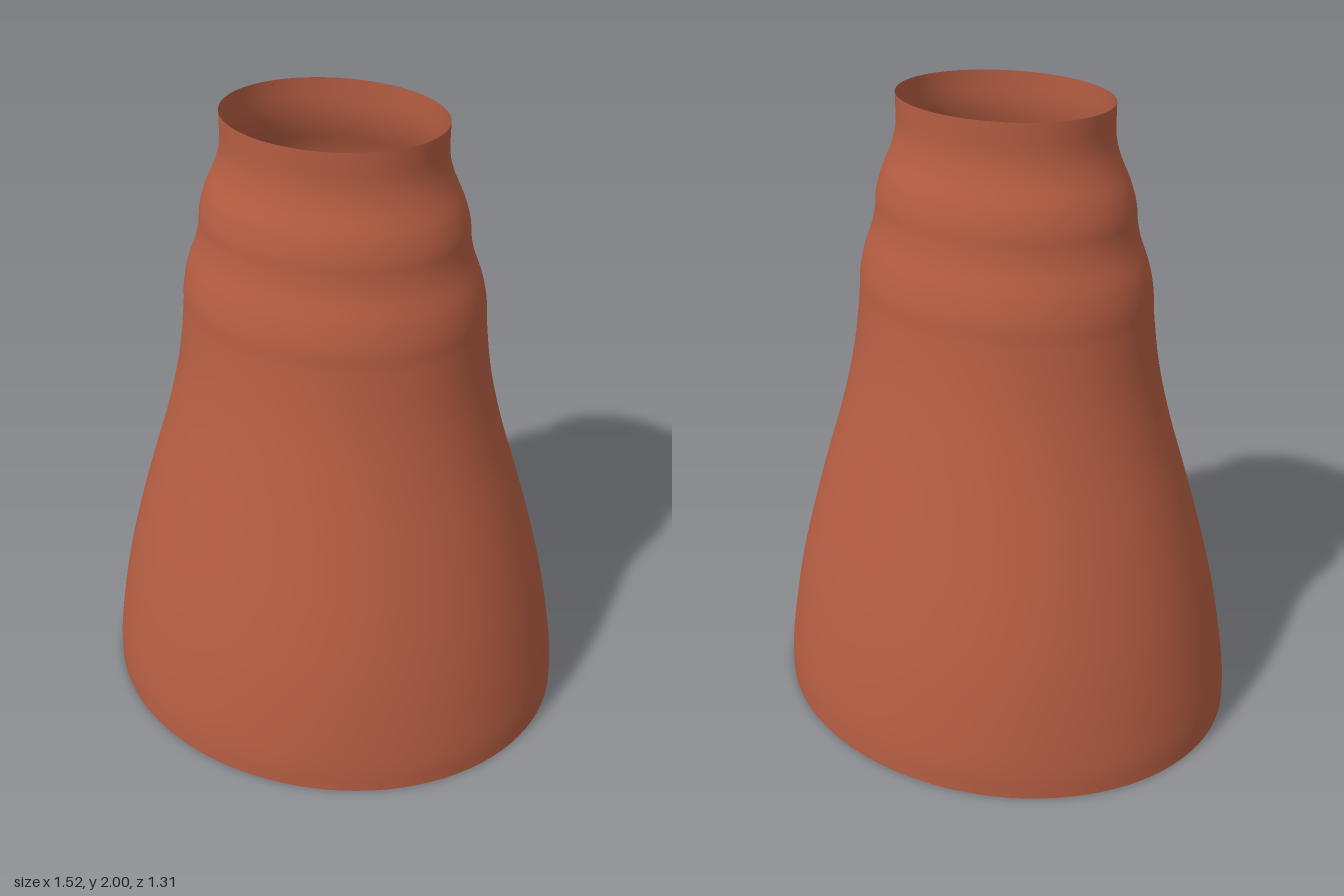
import * as THREE from 'three';
import { mergeVertices } from 'three/addons/utils/BufferGeometryUtils.js';

// Half width, height, half depth of the oval section, from foot to mouth
const sections = [
  [0.76, 0, 0.655], [0.758, 0.08, 0.652], [0.742, 0.2, 0.638], [0.705, 0.4, 0.604],
  [0.655, 0.6, 0.557], [0.597, 0.8, 0.503], [0.535, 1.0, 0.449], [0.488, 1.2, 0.402],
  [0.465, 1.38, 0.374], [0.46, 1.45, 0.368], [0.445, 1.52, 0.353], [0.416, 1.6, 0.329],
  [0.405, 1.65, 0.32], [0.4, 1.7, 0.315], [0.383, 1.76, 0.302], [0.348, 1.84, 0.274],
  [0.332, 1.9, 0.262], [0.33, 2.0, 0.26],
];

export function createModel() {
  const group = new THREE.Group();
  group.name = 'ovalSleeve';

  const curve = new THREE.CatmullRomCurve3(
    sections.map((s) => new THREE.Vector3(...s)), false, 'centripetal');

  // Open unit tube, each ring stretched to the oval at its height
  let geometry = new THREE.CylinderGeometry(1, 1, 1, 96, 120, true);
  geometry.deleteAttribute('uv');
  const position = geometry.attributes.position;
  for (let i = 0; i < position.count; i++) {
    const t = THREE.MathUtils.clamp(position.getY(i) + 0.5, 0, 1);
    const s = curve.getPoint(t);
    position.setXYZ(i, position.getX(i) * s.x, s.y, position.getZ(i) * s.z);
  }
  // Weld the seam so the shading is smooth all round
  geometry.deleteAttribute('normal');
  geometry = mergeVertices(geometry, 1e-5);
  geometry.computeVertexNormals();

  const shell = new THREE.Mesh(geometry, new THREE.MeshStandardMaterial({
    color: 0xb55d42, side: THREE.DoubleSide,
  }));
  shell.name = 'flaredShell';
  group.add(shell);
  return group;
}
